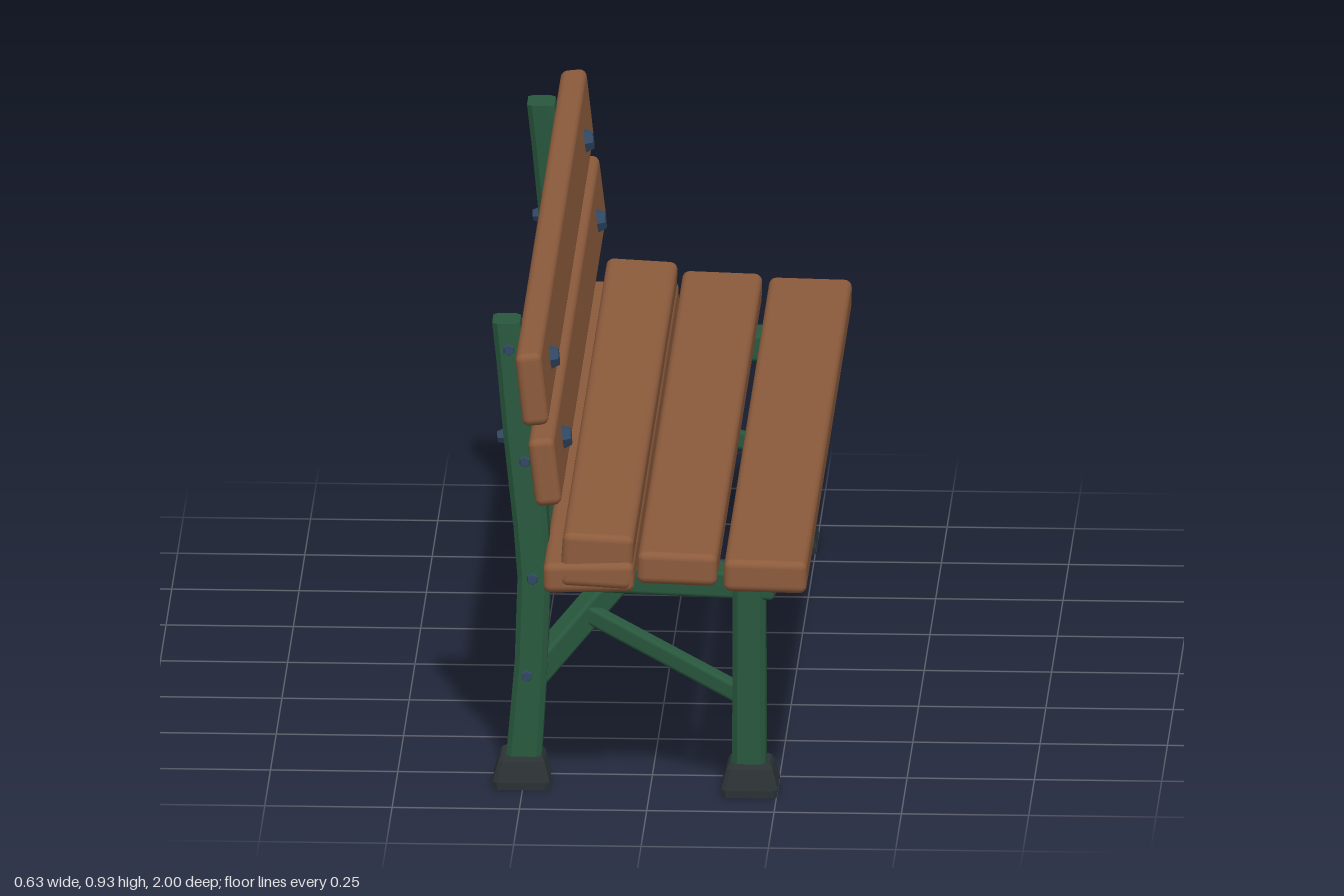
import * as THREE from 'three';
import { RoundedBoxGeometry } from 'three/addons/geometries/RoundedBoxGeometry.js';

const paint = (name, color) => {
  const m = new THREE.MeshStandardMaterial({ color });
  m.name = name;
  return m;
};

// Flat-shaded column with bevelled corners; each section is [x, y, z, width, depth]
function column(sections, bevel) {
  const rings = sections.map(([x, y, z, w, d]) => {
    const a = w / 2, b = d / 2, c = bevel;
    return [[a, b - c], [a - c, b], [c - a, b], [-a, b - c], [-a, c - b], [c - a, -b], [a - c, -b], [a, c - b]]
      .map(([u, v]) => [x + u, y, z + v]);
  });
  const pos = [];
  const tri = (...pts) => pts.forEach((p) => pos.push(...p));
  const first = rings[0], last = rings[rings.length - 1];
  for (let i = 0; i < 8; i++) {
    const j = (i + 1) % 8;
    for (let k = 0; k < rings.length - 1; k++) {
      const lo = rings[k], hi = rings[k + 1];
      tri(lo[i], hi[j], lo[j]);
      tri(lo[i], hi[i], hi[j]);
    }
    if (i > 0 && i < 7) {
      tri(first[0], first[i], first[j]);
      tri(last[0], last[j], last[i]);
    }
  }
  const g = new THREE.BufferGeometry();
  g.setAttribute('position', new THREE.Float32BufferAttribute(pos, 3));
  g.computeVertexNormals();
  return g;
}

export function createModel() {
  const wood = paint('brown wood', 0x8c5b3c);
  const green = paint('green paint', 0x28573d);
  const rubber = paint('dark rubber', 0x2c3335);
  const steel = paint('blue steel', 0x314863);
  const bench = new THREE.Group();
  bench.name = 'bench';

  const add = (name, geometry, material, parent = bench) => {
    const mesh = new THREE.Mesh(geometry, material);
    mesh.name = name;
    parent.add(mesh);
    return mesh;
  };

  // Rounded plank running along z; taper draws in the ends of its top face
  function plank(name, x, y, w, h, length, tilt, taper = 1) {
    const g = new RoundedBoxGeometry(w, h, length, 3, 0.015);
    const p = g.attributes.position;
    for (let i = 0; i < p.count; i++) if (p.getY(i) > 0) p.setZ(i, p.getZ(i) * taper);
    const mesh = add(name, g, wood);
    mesh.position.set(x, y, 0);
    mesh.rotation.z = tilt;
  }
  plank('frontSeatPlank', 0.232, 0.477, 0.163, 0.065, 1.99, -0.02);
  plank('middleSeatPlank', 0.059, 0.489, 0.157, 0.065, 1.98, -0.03);
  plank('rearSeatPlank', -0.115, 0.47, 0.178, 0.06, 1.99, 0.02);
  plank('rearSeatRiser', -0.099, 0.501, 0.14, 0.1, 2.0, -0.05, 0.967);
  plank('upperBackSlat', -0.226, 0.855, 0.052, 0.148, 2.0, 0.11);
  plank('lowerBackSlat', -0.201, 0.685, 0.052, 0.138, 1.99, 0.12);

  for (const s of [1, -1]) {
    const frame = new THREE.Group();
    frame.name = s > 0 ? 'leftFrame' : 'rightFrame';
    bench.add(frame);

    // Bar between two points
    const bar = (name, a, b, w, h) => {
      const from = new THREE.Vector3(a[0], a[1], a[2] * s);
      const to = new THREE.Vector3(b[0], b[1], b[2] * s);
      const g = new RoundedBoxGeometry(w, h, from.distanceTo(to), 2, 0.008);
      const mesh = add(name, g, green, frame);
      mesh.position.copy(from).lerp(to, 0.5);
      mesh.lookAt(to);
    };

    // Bent rear post and straight front leg
    add('rearPost', column([
      [-0.25, 0.04, 0.815 * s, 0.07, 0.08],
      [-0.235, 0.25, 0.8 * s, 0.064, 0.08],
      [-0.23, 0.42, 0.788 * s, 0.064, 0.082],
      [-0.236, 0.52, 0.782 * s, 0.068, 0.08],
      [-0.255, 0.7, 0.772 * s, 0.07, 0.08],
      [-0.273, 0.85, 0.764 * s, 0.062, 0.078],
      [-0.286, 0.932, 0.76 * s, 0.054, 0.078],
    ], 0.01), green, frame);
    add('frontLeg', column([
      [0.195, 0.04, 0.848 * s, 0.066, 0.078],
      [0.195, 0.43, 0.842 * s, 0.064, 0.078],
    ], 0.01), green, frame);

    // Tapered feet
    for (const [name, x, z] of [['rearFoot', -0.253, 0.812], ['frontFoot', 0.197, 0.848]]) {
      add(name, column([
        [x, 0, z * s, 0.108, 0.114],
        [x, 0.015, z * s, 0.112, 0.116],
        [x, 0.055, z * s, 0.09, 0.096],
        [x, 0.064, z * s, 0.08, 0.086],
      ], 0.008), rubber, frame);
    }

    // Seat rail butting against the post, diagonal brace and thin strut
    bar('seatRail', [-0.215, 0.424, 0.785], [0.248, 0.423, 0.838], 0.085, 0.054);
    bar('diagonalBrace', [-0.235, 0.215, 0.8], [-0.025, 0.435, 0.655], 0.05, 0.052);
    bar('thinStrut', [-0.13, 0.328, 0.735], [0.185, 0.192, 0.845], 0.034, 0.036);

    // Bolt heads; z is mirrored with the frame
    const bolt = (name, x, y, z, r, h, axis) => {
      const g = new THREE.CylinderGeometry(r * 0.65, r, h, 6).toNonIndexed();
      g.computeVertexNormals();
      const mesh = add(name, g, steel, frame);
      mesh.position.set(x, y, z * s);
      mesh.quaternion.setFromUnitVectors(new THREE.Vector3(0, 1, 0), axis.clone().normalize());
    };
    const forward = new THREE.Vector3(1, 0.11, 0);
    bolt('upperSlatBolt', -0.195, 0.853, 0.754, 0.027, 0.024, forward);
    bolt('lowerSlatBolt', -0.171, 0.69, 0.754, 0.027, 0.024, forward);
    bolt('backNut', -0.294, 0.695, 0.772, 0.017, 0.018, forward.clone().negate());

    // Small frame bolts, set into the outer faces of the left frame only
    if (s > 0) {
      for (const [x, y, z] of [[-0.28, 0.88, 0.8], [-0.248, 0.655, 0.813], [-0.232, 0.42, 0.828],
        [-0.242, 0.225, 0.84], [0.21, 0.425, 0.878]]) {
        bolt('frameBolt', x, y, z, 0.015, 0.012, new THREE.Vector3(0, 0, 1));
      }
    }
  }
  return bench;
}
